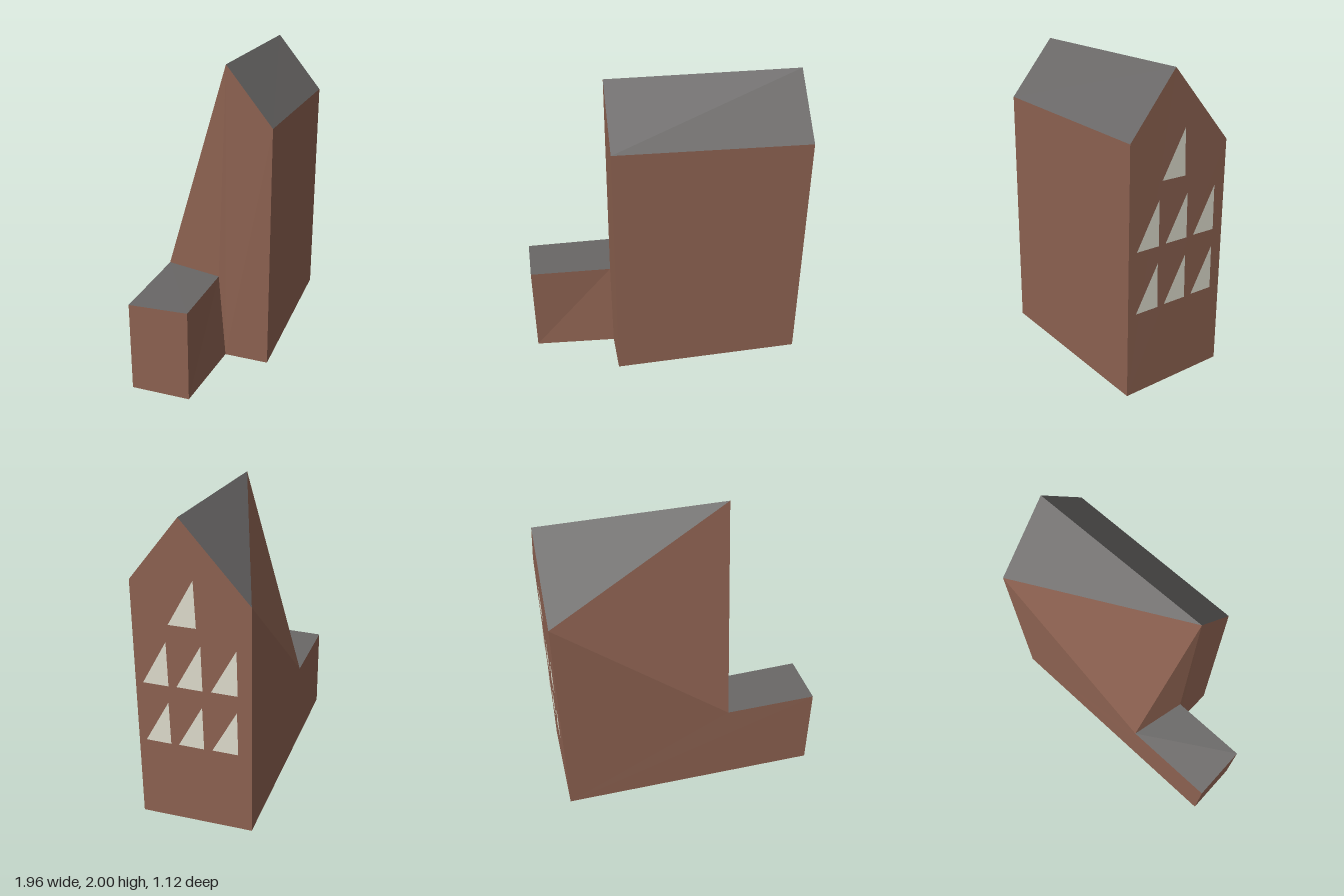
import * as THREE from 'three';

export function createModel() {
  const model = new THREE.Group();
  const material = (name, color) => {
    const m = new THREE.MeshStandardMaterial({ color, side: THREE.DoubleSide, flatShading: true });
    m.name = name;
    return m;
  };
  const brick = material('brick', 0x8c6150);
  const slate = material('slate', 0x696766);
  const glass = material('pale glass', 0xdddbcc);

  // Flat-shaded panel: each polygon is fanned from its first corner
  const panel = (name, mat, ...polygons) => {
    const pos = [];
    for (const p of polygons)
      for (let i = 1; i < p.length - 1; i++) pos.push(...p[0], ...p[i], ...p[i + 1]);
    const geo = new THREE.BufferGeometry();
    geo.setAttribute('position', new THREE.Float32BufferAttribute(pos, 3));
    geo.computeVertexNormals();
    const mesh = new THREE.Mesh(geo, mat);
    mesh.name = name;
    model.add(mesh);
  };

  // Footprint corners [x, z], raised to a height with at()
  const at = ([x, z], y = 0) => [x, y, z];
  const frontLeft = [-0.215, 0.56], frontRight = [0.975, 0.125], backRight = [0.715, -0.565];
  const annexBack = [-0.98, 0.06], annexFront = [-0.845, 0.42], inner = [-0.315, 0.28];

  // Eaves, ridge and annex roof corners
  const eaveL = at(frontLeft, 1.635), eaveR = at(frontRight, 1.6), eaveBack = at(backRight, 1.51);
  const ridgeL = at(inner, 2), ridgeR = [0.863, 1.985, -0.17];
  const annexTopBack = at(annexBack, 0.6), annexTopFront = at(annexFront, 0.612);
  const joinBack = [-0.38, 0.59, -0.16], joinFront = [-0.332, 0.592, 0.235];

  // Main house walls (open underneath)
  panel('frontWall', brick, [at(frontLeft), at(frontRight), eaveR, eaveL]);
  panel('windowGable', brick, [at(frontRight), at(backRight), eaveBack, ridgeR, eaveR]);
  panel('backWall', brick,
    [at(backRight), at(annexBack), annexTopBack, joinBack, eaveBack]);
  panel('slopedBackWall', brick, [eaveBack, joinBack, ridgeL]);
  panel('annexSideGable', brick,
    [at(inner), at(frontLeft), eaveL, ridgeL],
    [at(inner), ridgeL, joinFront],
    [joinBack, joinFront, ridgeL]);

  // Low annex
  panel('annexEndWall', brick, [at(annexBack), at(annexFront), annexTopFront, annexTopBack]);
  panel('annexFrontWall', brick, [at(annexFront), at(inner), joinFront, annexTopFront]);
  panel('annexRoof', slate, [annexTopFront, joinFront, joinBack, annexTopBack]);

  // Main roof
  panel('frontRoof', slate, [eaveL, eaveR, ridgeR, ridgeL]);
  panel('backRoof', slate, [eaveBack, ridgeL, ridgeR]);

  // Triangular windows lying just proud of the gable
  const slope = (frontRight[0] - backRight[0]) / (frontRight[1] - backRight[1]);
  const onGable = (z, y) => [backRight[0] + (z - backRight[1]) * slope + 0.009, y, z];
  const addWindow = (z, y, width = 0.155, lean = 0.005) => panel('window', glass,
    [onGable(z, y + 0.003), onGable(z - width, y), onGable(z - width + lean, y + 0.29)]);
  for (const y of [0.547, 0.947])
    for (const z of [0.073, -0.13, -0.335]) addWindow(z, y);
  addWindow(-0.095, 1.345, 0.163, 0.01);

  return model;
}
